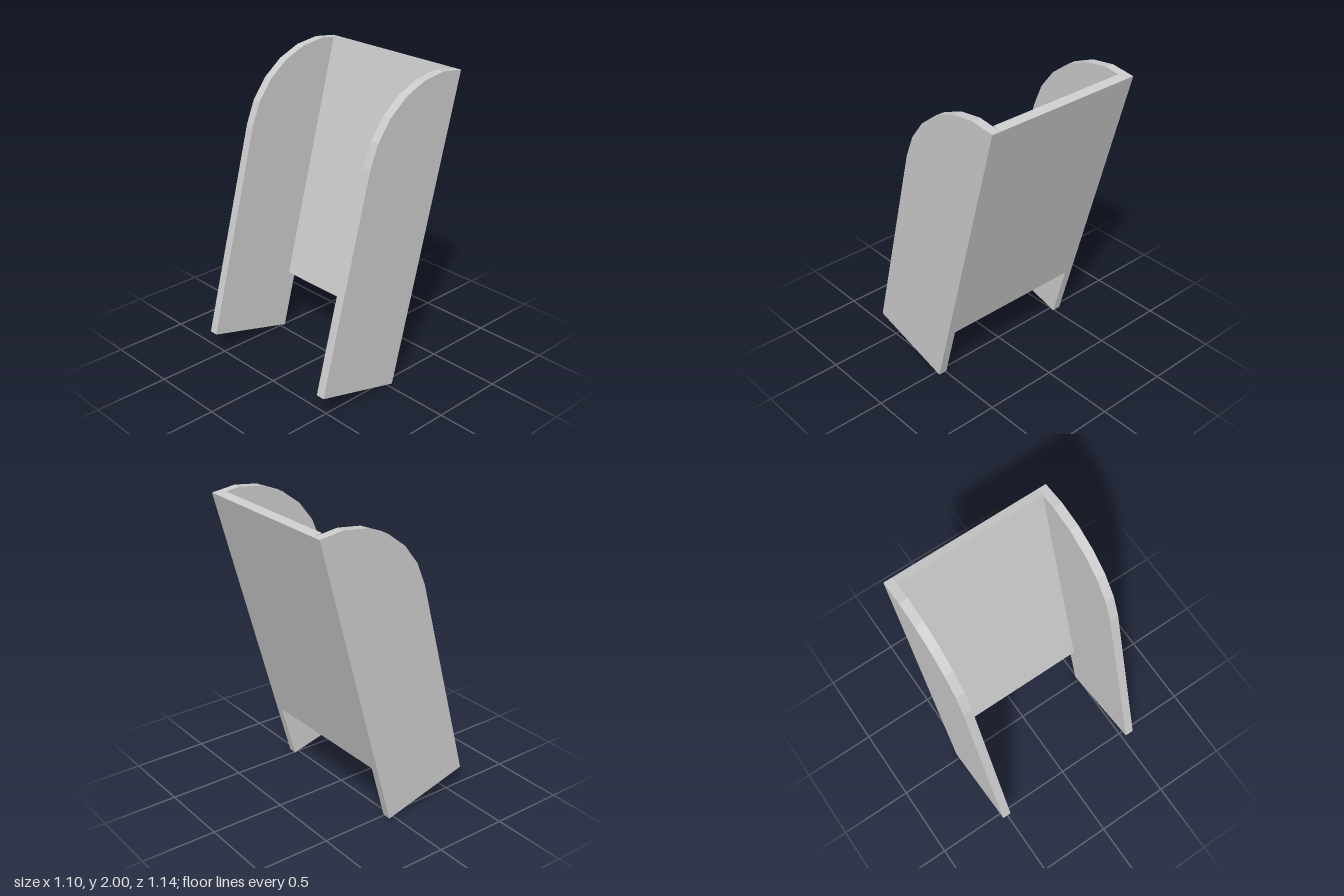
import * as THREE from 'three';

const DEPTH = 0.626;       // front-to-back width of each side wing, also the corner radius
const STRAIGHT = 1.427;    // height where the rounded corner begins
const HEIGHT = STRAIGHT + DEPTH;
const INNER = 0.492, OUTER = 0.551;

export function createModel() {
  const model = new THREE.Group();
  model.name = 'leaningShell';
  const material = new THREE.MeshStandardMaterial({ color: 0xcccccc, flatShading: true });

  // Everything is built upright, then leaned back by 15 degrees
  const body = new THREE.Group();
  body.name = 'tiltedBody';
  body.rotation.x = -Math.PI / 12;
  body.position.set(0, 0.003, -0.035);
  model.add(body);

  // Side wings: straight plank with a quarter-round front top corner (6 facets)
  const profile = new THREE.Shape();
  profile.moveTo(0, 0);
  profile.lineTo(DEPTH, 0);
  profile.lineTo(DEPTH, STRAIGHT);
  profile.absarc(0, STRAIGHT, DEPTH, 0, Math.PI / 2, false);
  profile.closePath();
  const thickness = OUTER - INNER;
  const wing = new THREE.ExtrudeGeometry(profile, { depth: thickness, bevelEnabled: false, curveSegments: 3 });
  wing.rotateY(-Math.PI / 2);
  wing.translate(thickness / 2, 0, 0);
  for (const side of [1, -1]) {
    const mesh = new THREE.Mesh(wing, material);
    mesh.name = side > 0 ? 'leftWing' : 'rightWing';
    mesh.position.x = side * (INNER + OUTER) / 2;
    body.add(mesh);
  }

  // Back panel, flush with the rear edges of the wings and raised off the ground
  const panelBottom = 0.395, panelDepth = 0.057;
  const panel = new THREE.Mesh(
    new THREE.BoxGeometry(INNER * 2, HEIGHT - panelBottom, panelDepth), material);
  panel.name = 'backPanel';
  panel.position.set(0, (HEIGHT + panelBottom) / 2, panelDepth / 2);
  body.add(panel);

  return model;
}
